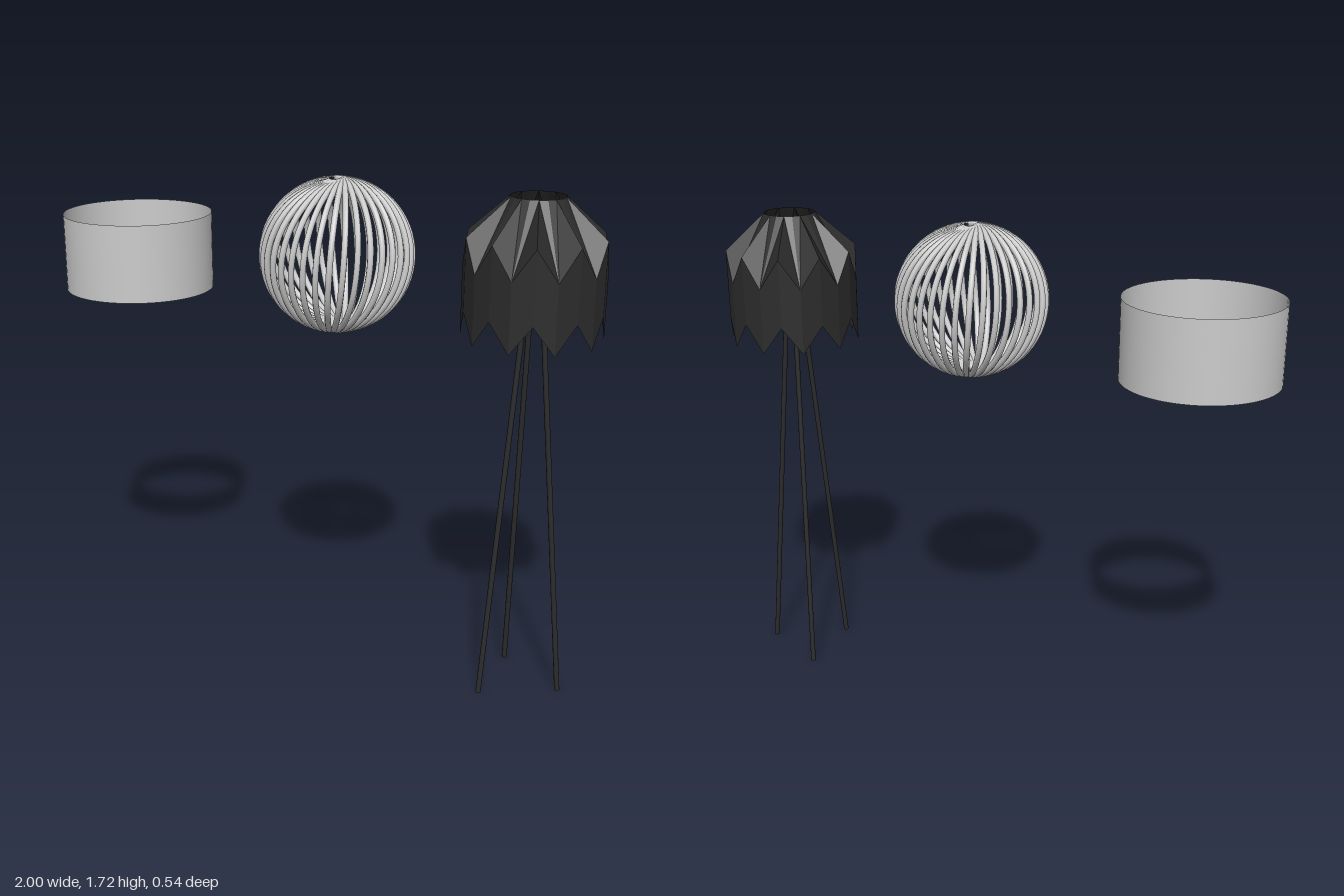
import * as THREE from 'three';

const grey = new THREE.MeshStandardMaterial({ color: 0xcccccc });
const greyThin = new THREE.MeshStandardMaterial({ color: 0xcccccc, side: THREE.DoubleSide });
const black = new THREE.MeshStandardMaterial({ color: 0x2b2b2b });
const blackThin = new THREE.MeshStandardMaterial({ color: 0x2b2b2b, side: THREE.DoubleSide, flatShading: true });

function add(parent, name, geometry, material, x = 0, y = 0, z = 0) {
  const mesh = new THREE.Mesh(geometry, material);
  mesh.name = name;
  mesh.position.set(x, y, z);
  parent.add(mesh);
  return mesh;
}

// straight round bar between two points
function bar(parent, name, a, b, radius, material) {
  const dir = b.clone().sub(a);
  const mesh = add(parent, name, new THREE.CylinderGeometry(radius, radius, dir.length(), 10), material);
  mesh.position.copy(a).add(b).multiplyScalar(0.5);
  mesh.quaternion.setFromUnitVectors(new THREE.Vector3(0, 1, 0), dir.normalize());
}

// half-hoop ribs from pole to pole, leaning more towards the sides
function ribbedGlobe() {
  const group = new THREE.Group();
  group.name = 'ribbedGlobeShade';
  const count = 36, R = 0.256;
  for (let i = 0; i < count; i++) {
    const a = (i / count) * Math.PI * 2;
    const lean = -(0.07 + 0.1 * Math.cos(a + 0.3) ** 2);
    const out = new THREE.Vector3(Math.cos(a), 0, Math.sin(a));
    const up = new THREE.Vector3(-Math.sin(a) * Math.sin(lean), Math.cos(lean), Math.cos(a) * Math.sin(lean));
    const points = [];
    for (let k = 0; k <= 16; k++) {
      // the lean reverses through the equator, so each rib is a flat half circle
      const t = (k / 16 - 0.5) * Math.PI;
      points.push(out.clone().multiplyScalar(R * Math.cos(t)).addScaledVector(up, R * Math.sin(t)));
    }
    add(group, 'rib', new THREE.TubeGeometry(new THREE.CatmullRomCurve3(points), 32, 0.0105, 8), grey);
  }
  return group;
}

// folded shade: rows of points joined by flat triangles
function foldedShade() {
  const folds = 10, n = folds * 2;
  const rows = [
    { r: 0.09, tip: 1.71, valley: 1.71 },
    { r: 0.23, tip: 1.48, valley: 1.585 },
    { r: 0.23, tip: 1.25, valley: 1.345 },
  ];
  const positions = [], index = [];
  for (const row of rows) {
    for (let i = 0; i < n; i++) {
      const a = (i / n) * Math.PI * 2;
      positions.push(row.r * Math.cos(a), i % 2 ? row.tip : row.valley, row.r * Math.sin(a));
    }
  }
  for (let j = 0; j < rows.length - 1; j++) {
    for (let i = 0; i < n; i++) {
      const a = j * n + i, b = j * n + ((i + 1) % n), c = a + n, d = b + n;
      // mirror the diagonal so both sides of a fold match
      if (i % 2) index.push(a, b, c, b, d, c);
      else index.push(a, b, d, a, d, c);
    }
  }
  const geometry = new THREE.BufferGeometry();
  geometry.setAttribute('position', new THREE.Float32BufferAttribute(positions, 3));
  geometry.setIndex(index);
  geometry.computeVertexNormals();
  return geometry;
}

function tripodLamp() {
  const group = new THREE.Group();
  group.name = 'tripodLamp';
  add(group, 'foldedShade', foldedShade(), blackThin);
  for (let i = 0; i < 3; i++) {
    const a = (i * Math.PI * 2) / 3;
    const at = (r, y) => new THREE.Vector3(r * Math.cos(a), y, r * Math.sin(a));
    bar(group, 'leg', at(0.16, 0), at(0.033, 1.36), 0.009, black);
  }
  // hub and socket hidden inside the shade
  add(group, 'hub', new THREE.CylinderGeometry(0.043, 0.043, 0.03, 24), black, 0, 1.36);
  add(group, 'socket', new THREE.CylinderGeometry(0.025, 0.025, 0.06, 20), black, 0, 1.4);
  add(group, 'bulb', new THREE.SphereGeometry(0.02, 16, 12), grey, 0, 1.435);
  return group;
}

export function createModel() {
  const model = new THREE.Group();
  // open drum
  add(model, 'drumShade', new THREE.CylinderGeometry(0.268, 0.268, 0.275, 64, 1, true), greyThin, -0.732, 1.398);

  const globe = ribbedGlobe();
  globe.position.set(0.073, 1.455, 0);
  model.add(globe);

  const lamp = tripodLamp();
  lamp.position.x = 0.77;
  model.add(lamp);
  return model;
}
